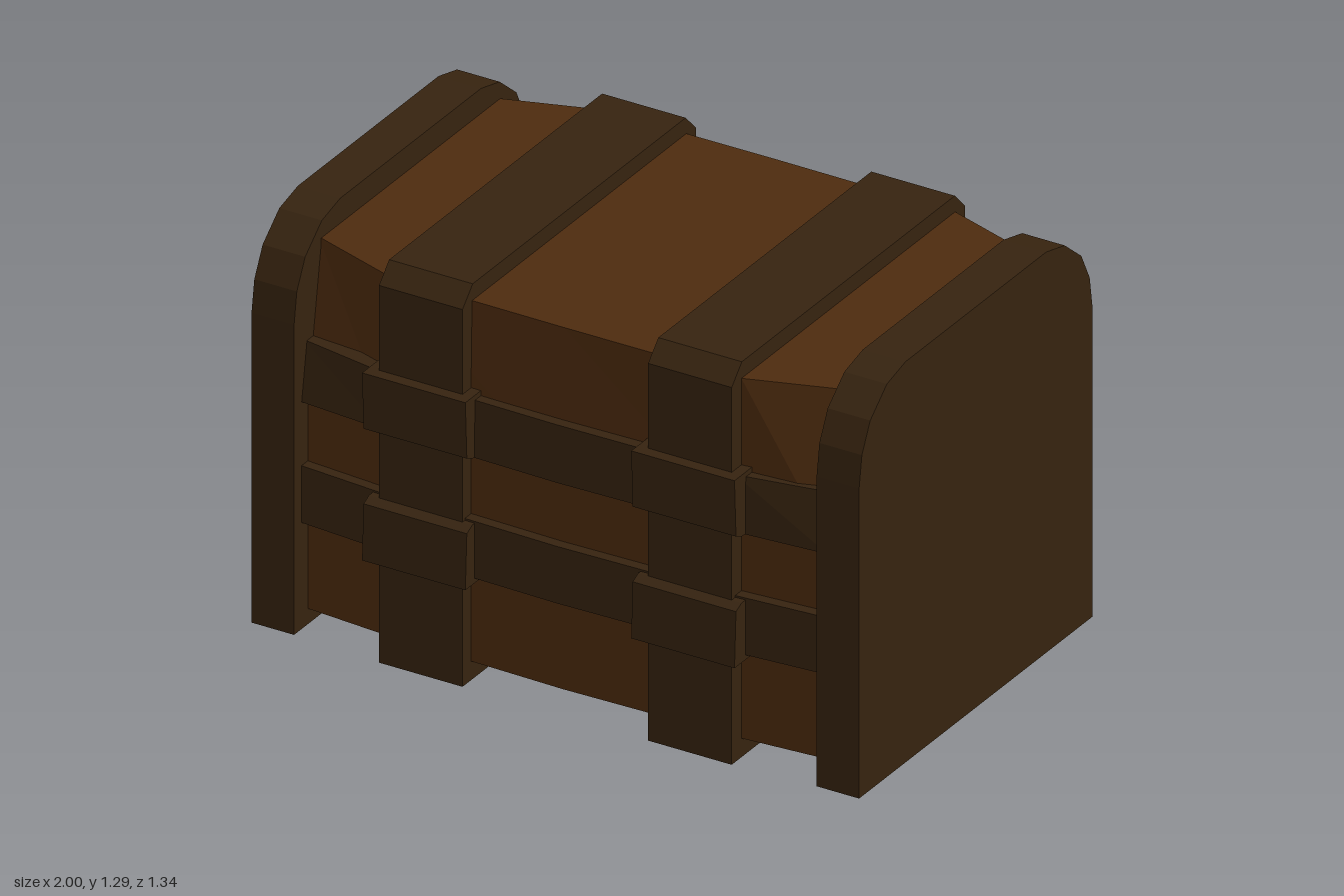
import * as THREE from 'three';

const STATIONS = [-0.87, -0.58, 0, 0.58, 0.87];

// Half depth of the bulging chest wall: narrower at the ends, leaning in near the top
function wall(x, y) {
  const lean = Math.max(0, (y - 0.73) / 0.48);
  const a = Math.abs(x);
  if (a > 0.8) return 0.555 - 0.075 * lean;
  return a > 0.3 ? 0.577 : 0.59 - 0.01 * lean;
}

// Flat-shaded solid lofted along x; ring(x) gives [z, y] pairs, anticlockwise seen from +x
function loft(ring) {
  const pos = [];
  const rings = STATIONS.map((x) => ring(x).map(([z, y]) => [x, y, z]));
  const tri = (...pts) => pts.forEach((p) => pos.push(...p));
  const n = rings[0].length;
  for (let i = 0; i < rings.length - 1; i++) {
    for (let j = 0; j < n; j++) {
      const k = (j + 1) % n;
      const a = rings[i][j], b = rings[i][k], c = rings[i + 1][k], d = rings[i + 1][j];
      tri(a, b, c);
      tri(a, c, d);
    }
  }
  const first = rings[0], last = rings[rings.length - 1];
  for (let j = 1; j < n - 1; j++) {
    tri(first[0], first[j + 1], first[j]);
    tri(last[0], last[j], last[j + 1]);
  }
  const geo = new THREE.BufferGeometry();
  geo.setAttribute('position', new THREE.Float32BufferAttribute(pos, 3));
  geo.computeVertexNormals();
  return geo;
}

// Side profile of [z, y] points extruded along x and centred on x = 0
function slab(points, width) {
  const shape = new THREE.Shape(points.map(([z, y]) => new THREE.Vector2(z, y)));
  const geo = new THREE.ExtrudeGeometry(shape, { depth: width, bevelEnabled: false });
  return geo.translate(0, 0, -width / 2).rotateY(-Math.PI / 2);
}

// Completes a symmetric profile from its +z half, listed bottom to top
function symmetric(half) {
  return [...half, ...half.slice().reverse().map(([z, y]) => [-z, y])];
}

export function createModel() {
  const wood = new THREE.MeshStandardMaterial({ color: 0x4d2b0e });
  wood.name = 'warm wood';
  const trim = new THREE.MeshStandardMaterial({ color: 0x36230f });
  trim.name = 'dark trim';

  const model = new THREE.Group();
  model.name = 'chest';
  const add = (parent, name, geo, mat, x = 0) => {
    const mesh = new THREE.Mesh(geo, mat);
    mesh.name = name;
    mesh.position.x = x;
    parent.add(mesh);
  };

  // Bulging wooden body
  const levels = [0.06, 0.73, 1.21];
  add(model, 'body', loft((x) => [
    ...levels.map((y) => [-wall(x, y), y]),
    ...levels.slice().reverse().map((y) => [wall(x, y), y]),
  ]), wood);

  // Rounded end boards and chamfered vertical bands
  const endBoard = slab(symmetric([
    [0.63, 0.01], [0.63, 1.0], [0.615, 1.1], [0.57, 1.19], [0.48, 1.265], [0.38, 1.29],
  ]), 0.14);
  const band = slab(symmetric([[0.63, 0], [0.63, 1.205], [0.575, 1.262]]), 0.275);
  for (const [side, s] of [['left', 1], ['right', -1]]) {
    add(model, side + 'EndBoard', endBoard, trim, s * 0.93);
    add(model, side + 'Band', band, trim, s * 0.443);
  }

  // Horizontal straps with raised loops where they cross the bands
  const strap = (y0, y1) => loft((x) => [
    [wall(x, y0) + 0.034, y0], [wall(x, y0) - 0.03, y0],
    [wall(x, y1) - 0.03, y1], [wall(x, y1) + 0.034, y1],
  ]);
  const upperStrap = strap(0.735, 0.918);
  const lowerStrap = strap(0.35, 0.532);
  const upperLoop = slab([[0.55, 0.735], [0.63, 0.738], [0.66, 0.752], [0.668, 0.934], [0.55, 0.934]], 0.34);
  const lowerLoop = slab([[0.55, 0.335], [0.668, 0.335], [0.66, 0.512], [0.63, 0.526], [0.55, 0.526]], 0.34);
  for (const [side, turn] of [['front', 0], ['back', Math.PI]]) {
    const straps = new THREE.Group();
    straps.name = side + 'Straps';
    straps.rotation.y = turn;
    add(straps, 'upperStrap', upperStrap, trim);
    add(straps, 'lowerStrap', lowerStrap, trim);
    for (const s of [-1, 1]) {
      add(straps, 'upperLoop', upperLoop, trim, s * 0.443);
      add(straps, 'lowerLoop', lowerLoop, trim, s * 0.443);
    }
    model.add(straps);
  }
  return model;
}
